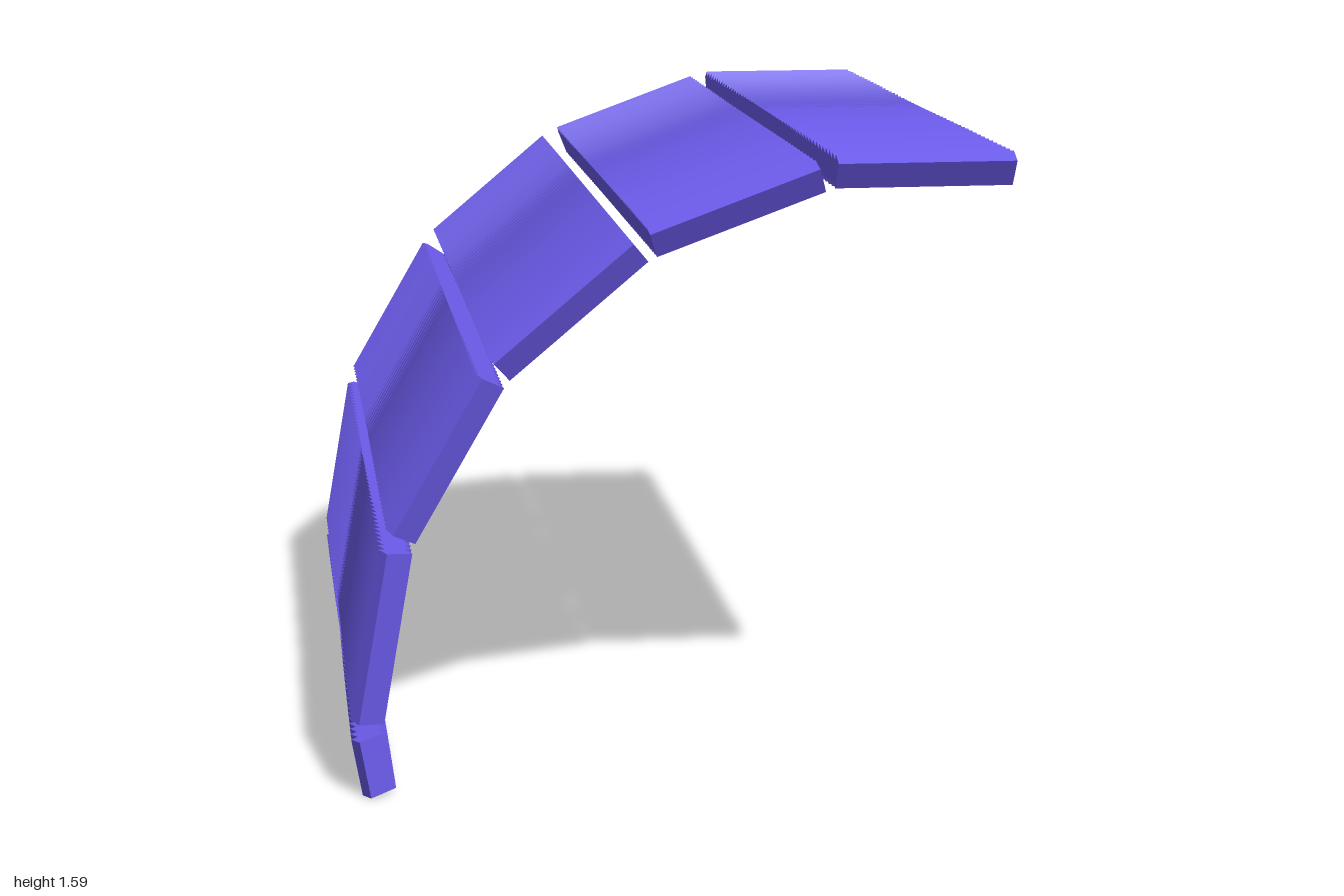
import * as THREE from 'three';
import { mergeGeometries } from 'three/addons/utils/BufferGeometryUtils.js';

const SLATS = 50;
const SLAT_WIDTH = 0.04;
const THICKNESS = 0.075;
const REACH = 0.964; // z of the outermost slat centres
const MAX_TILT = Math.PI / 6;

// A row of slats along z, each tilted further outward the farther it is from the middle
function panelGeometry(length) {
  const slats = [];
  for (let i = 0; i < SLATS; i++) {
    const t = (2 * i) / (SLATS - 1) - 1;
    const slat = new THREE.BoxGeometry(length, THICKNESS, SLAT_WIDTH);
    slat.rotateX(MAX_TILT * t);
    slat.translate(0, 0, REACH * t);
    slats.push(slat);
  }
  return mergeGeometries(slats);
}

export function createModel() {
  const group = new THREE.Group();
  group.name = 'slattedArch';
  const material = new THREE.MeshStandardMaterial({ color: 0x6a5ae8 });

  // Panels from the foot up to the flat roof: centre x, centre y, length, slope in degrees
  const panels = [
    ['footPanel', -0.77, 0.0815, 0.15, 100],
    ['lowerWallPanel', -0.745, 0.41, 0.443, 80],
    ['upperWallPanel', -0.5825, 0.859, 0.445, 60],
    ['lowerCurvePanel', -0.2775, 1.224, 0.445, 40],
    ['upperCurvePanel', 0.135, 1.461, 0.443, 20],
    ['roofPanel', 0.6025, 1.5475, 0.445, 0],
  ];
  for (const [name, x, y, length, slope] of panels) {
    const panel = new THREE.Mesh(panelGeometry(length), material);
    panel.name = name;
    panel.position.set(x, y, 0);
    panel.rotation.z = THREE.MathUtils.degToRad(slope);
    group.add(panel);
  }
  return group;
}
